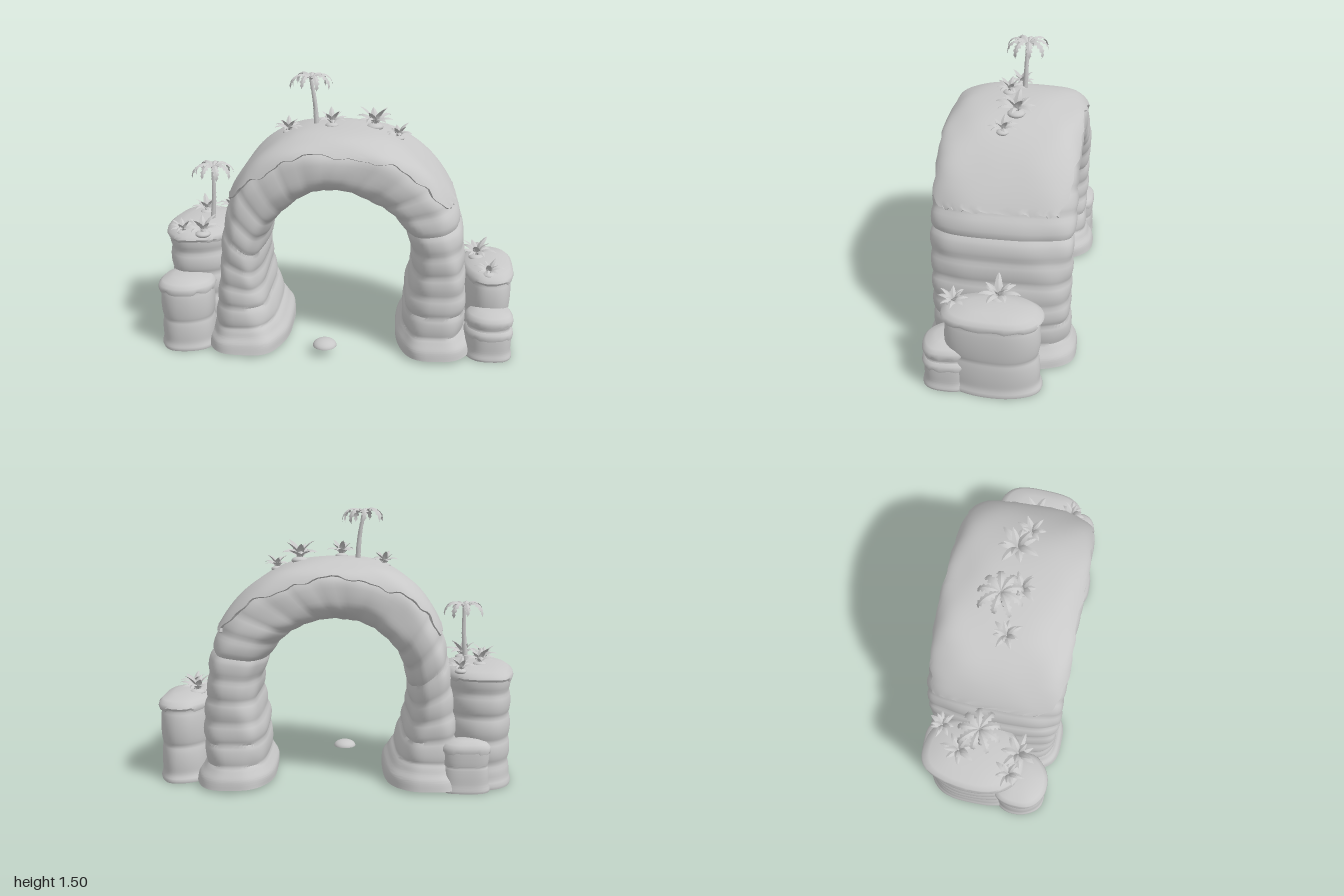
import * as THREE from 'three';
import { toCreasedNormals } from 'three/addons/utils/BufferGeometryUtils.js';

const stone = new THREE.MeshStandardMaterial({ color: 0xc8c8c8, side: THREE.DoubleSide });
stone.name = 'pale grey';
const V = (x, y, z = 0) => new THREE.Vector3(x, y, z);

// Skin a grid of points (rows of equal length)
function skin(rows, name, crease = 0.8) {
  const n = rows[0].length, pos = [], idx = [];
  rows.forEach(r => r.forEach(p => pos.push(p.x, p.y, p.z)));
  for (let i = 0; i < rows.length - 1; i++) {
    for (let j = 0; j < n - 1; j++) {
      const a = i * n + j, b = a + 1, c = a + n, d = c + 1;
      idx.push(a, c, b, b, c, d);
    }
  }
  const g = new THREE.BufferGeometry();
  g.setAttribute('position', new THREE.Float32BufferAttribute(pos, 3));
  g.setIndex(idx);
  const mesh = new THREE.Mesh(toCreasedNormals(g, crease), stone);
  mesh.name = name;
  return mesh;
}

const sgnPow = (v, e) => Math.sign(v) * Math.abs(v) ** e;
const scallop = s => Math.abs(Math.sin(Math.PI * s)) ** 0.5 - 0.7;
const ragged = s => 0.5 * Math.sin(s * 13) + 0.3 * Math.sin(s * 31 + 1) + 0.2 * Math.sin(s * 57 + 2);
const ROUND = 0.66; // squareness of the arch cross-section

// Arch sections: inner edge (z holds the half depth) and outer edge, +x foot to -x foot
function archSections() {
  const inner = [[.34, .015, .4], [.34, .06, .395], [.37, .12, .37], [.385, .3, .365], [.42, .5, .365], [.38, .68, .365],
    [.27, .815, .37], [.15, .88, .37], [.01, .91, .365], [-.13, .89, .365], [-.26, .81, .37], [-.36, .69, .37],
    [-.41, .52, .365], [-.4, .36, .365], [-.35, .2, .365], [-.31, .12, .375], [-.275, .07, .4], [-.27, .015, .41]];
  const outer = [[.78, .015], [.77, .06], [.73, .12], [.73, .3], [.71, .52], [.685, .72],
    [.61, .91], [.43, 1.1], [.2, 1.2], [-.21, 1.2], [-.41, 1.1], [-.55, .92],
    [-.62, .68], [-.65, .42], [-.68, .2], [-.7, .1], [-.73, .06], [-.74, .015]];
  const ci = new THREE.CatmullRomCurve3(inner.map(p => V(...p)));
  const co = new THREE.CatmullRomCurve3(outer.map(p => V(...p)));
  const list = [];
  let len = 0;
  for (let i = 0; i <= 180; i++) {
    const a = ci.getPoint(i / 180), b = co.getPoint(i / 180), depth = a.z;
    a.z = 0;
    const c = a.clone().add(b).multiplyScalar(0.5), u = b.clone().sub(c), half = u.length();
    if (i) len += c.distanceTo(list[i - 1].c);
    // strata fade towards the crown and the feet
    const strata = (0.016 - 0.01 * THREE.MathUtils.smoothstep(b.y, 0.8, 1.15)) * THREE.MathUtils.smoothstep(b.y, 0.04, 0.14);
    list.push({ c, u: u.normalize(), half, depth, len, top: b.y, bump: strata * scallop(len / 0.118) });
  }
  return list;
}

function archPoint(s, a, grow) {
  const wob = 0.005 * Math.sin(a * 4 + 1) * Math.cos(s.len * 9) + 0.003 * Math.sin(a * 7) * Math.sin(s.len * 17);
  const p = s.c.clone().addScaledVector(s.u, (s.half + grow + wob) * sgnPow(Math.cos(a), ROUND));
  p.z = (s.depth + grow + wob) * sgnPow(Math.sin(a), ROUND);
  return p;
}

function buildArch(group) {
  const secs = archSections(), N = 64;
  const rows = secs.map(s => Array.from({ length: N + 1 }, (_, j) => archPoint(s, j / N * Math.PI * 2, s.bump)));
  const first = secs[0].c, last = secs[secs.length - 1].c;
  rows.unshift(rows[0].map(() => first.clone()));
  rows.push(rows[1].map(() => last.clone()));
  group.add(skin(rows, 'archRock', 0.9));

  // Turf shell over the crown with a ragged hanging edge
  const crown = secs.filter(s => s.top > 0.855), M = 40, cap = [];
  const capRow = (s, k, grow) => {
    const e = Math.abs(k) ** 3;
    const edge = side => Math.acos(Math.min(0.93, 0.48 + 0.34 * e + 0.13 * ragged(s.len * 1.2 + side)) ** (1 / ROUND));
    const lo = -edge(0.4), hi = edge(1.7), row = [];
    for (let j = 0; j <= M; j++) {
      const a = lo + (hi - lo) * j / M;
      const p = archPoint(s, a, grow);
      if (Math.abs(k) > 0.99) p.y += 0.012 * ragged(a * 2);
      row.push(p);
    }
    return [archPoint(s, lo, -0.02), ...row, archPoint(s, hi, -0.02)];
  };
  crown.forEach((s, i) => cap.push(capRow(s, i / (crown.length - 1) * 2 - 1, 0.014)));
  cap.unshift(capRow(crown[0], -1, -0.02));
  cap.push(capRow(crown[crown.length - 1], 1, -0.02));
  group.add(skin(cap, 'archTurf', 0.8));
}

// Layered rock column with a flared foot and an overhanging domed turf lid
function pillar(name, x, z, rx, rz, h, pitch, seed) {
  const g = new THREE.Group(), N = 48;
  g.name = name;
  const ring = (f, y, rag = 0) => Array.from({ length: N + 1 }, (_, j) => {
    const a = j / N * Math.PI * 2;
    const w = f * (1 + 0.02 * Math.sin(3 * a + seed) + 0.015 * Math.sin(5 * a + seed * 2 + y * 6));
    return V(x + rx * w * sgnPow(Math.cos(a), 0.85), y + rag * ragged(Math.sin(a) + seed), z + rz * w * sgnPow(Math.sin(a), 0.85));
  });
  const rows = [ring(0, 0)], steps = 36;
  for (let i = 0; i <= steps; i++) {
    const y = (h - 0.04) * i / steps;
    rows.push(ring(0.95 + 0.08 * scallop(y / pitch) + 0.12 * Math.exp(-((y / 0.03) ** 2)), y));
  }
  g.add(skin(rows, 'columnRock', 1.0));
  g.add(skin([ring(0.8, h - 0.06, 0.008), ring(1.01, h - 0.065, 0.012), ring(1.04, h - 0.05, 0.006), ring(1.01, h - 0.032),
    ring(0.88, h - 0.014), ring(0.5, h + 0.002), ring(0, h + 0.006)], 'columnTurf', 0.8));
  return g;
}

// Curved blade: length, width, start slope, droop, saw-tooth edge
function blade(len, width, slope, droop, teeth) {
  const rows = [], n = teeth ? 14 : 6;
  let r = 0.004, y = 0;
  for (let i = 0; i <= n; i++) {
    const t = i / n, ang = slope - droop * t;
    let w = width * Math.sin(Math.PI * (0.12 + 0.88 * t)) ** 0.8;
    if (teeth && i % 2) w *= 0.5;
    if (i === n) w = 0;
    rows.push([V(r, y - w * 0.45, w), V(r, y, 0), V(r, y - w * 0.45, -w)]);
    r += Math.cos(ang) * len / n;
    y += Math.sin(ang) * len / n;
  }
  return skin(rows, teeth ? 'frond' : 'leaf', 0.4);
}

// Leafy rosette growing on a small mound
function bush(x, y, z, size, turn) {
  const g = new THREE.Group();
  g.name = 'bush';
  const mound = new THREE.Mesh(new THREE.SphereGeometry(0.045, 16, 10), stone);
  mound.name = 'mound';
  mound.scale.y = 0.45;
  g.add(mound);
  [[7, 0.125, 1.05, 1.9], [5, 0.12, 1.4, 1.3]].forEach(([count, len, slope, droop], k) => {
    for (let i = 0; i < count; i++) {
      const leaf = blade(len * (1 + 0.15 * Math.sin(i * 2.3 + turn)), 0.02, slope, droop, false);
      leaf.rotation.y = i / count * Math.PI * 2 + k * 0.4 + turn;
      leaf.position.y = 0.014;
      g.add(leaf);
    }
  });
  g.position.set(x, y, z);
  g.scale.setScalar(size);
  return g;
}

function palm(base, top, bend) {
  const g = new THREE.Group();
  g.name = 'palm';
  const mid = base.clone().lerp(top, 0.5).add(V(bend, 0, 0));
  const path = new THREE.CatmullRomCurve3([base, mid, top]), rows = [];
  for (let i = 0; i <= 24; i++) {
    const p = path.getPoint(i / 24), r = 0.014 - 0.005 * i / 24 + (i % 2) * 0.0015;
    rows.push(Array.from({ length: 11 }, (_, j) => {
      const a = j / 10 * Math.PI * 2;
      return V(p.x + r * Math.cos(a), p.y, p.z + r * Math.sin(a));
    }));
  }
  g.add(skin(rows, 'trunk', 1.0));
  for (let i = 0; i < 9; i++) {
    const frond = blade(0.175 + 0.012 * Math.sin(i * 2.7), 0.024, 0.95, 2.9 + 0.2 * Math.sin(i * 1.9), true);
    frond.position.copy(top);
    frond.rotation.y = i / 9 * Math.PI * 2 + 0.2;
    g.add(frond);
  }
  return g;
}

export function createModel() {
  const model = new THREE.Group();
  model.name = 'rockArch';
  buildArch(model);

  model.add(
    pillar('rightTallColumn', -0.79, -0.06, 0.19, 0.27, 0.655, 0.13, 1),
    pillar('rightFrontColumn', -0.835, 0.215, 0.152, 0.148, 0.405, 0.17, 2.2),
    pillar('rightBackColumn', -0.7, -0.32, 0.13, 0.08, 0.28, 0.14, 3),
    pillar('leftColumn', 0.853, 0, 0.14, 0.25, 0.47, 0.2, 4),
    pillar('leftFrontColumn', 0.855, 0.23, 0.126, 0.127, 0.265, 0.09, 5.1),
    pillar('leftFrontLedge', 0.855, 0.23, 0.129, 0.13, 0.19, 0.19, 5.1)
  );

  model.add(palm(V(-0.12, 1.21, -0.02), V(-0.15, 1.47, -0.03), 0.006), palm(V(-0.73, 0.64, -0.03), V(-0.715, 0.955, -0.03), 0.006));

  [[-0.27, 1.185, 0.02, 0.75], [-0.03, 1.235, 0.05, 0.8], [0.2, 1.215, -0.02, 1.05], [0.33, 1.165, 0.03, 0.75],
    [-0.74, 0.635, 0.18, 0.95], [-0.67, 0.64, -0.26, 0.7], [-0.79, 0.655, -0.14, 0.85], [-0.86, 0.63, 0.15, 0.75],
    [0.79, 0.465, -0.02, 1.0], [0.84, 0.45, 0.2, 0.75]
  ].forEach(([x, y, z, s], i) => model.add(bush(x, y, z, s, i * 1.3)));

  // Loose half-round pebble under the arch
  const pebble = new THREE.Mesh(new THREE.SphereGeometry(0.066, 24, 8, 0, Math.PI * 2, 0, Math.PI / 2), stone);
  const under = new THREE.Mesh(new THREE.CircleGeometry(0.066, 24), stone);
  pebble.name = 'pebble';
  under.name = 'pebbleUnderside';
  under.rotation.x = Math.PI / 2;
  pebble.add(under);
  pebble.scale.y = 0.55;
  pebble.position.set(-0.05, 0.05, 0.32);
  model.add(pebble);
  return model;
}
